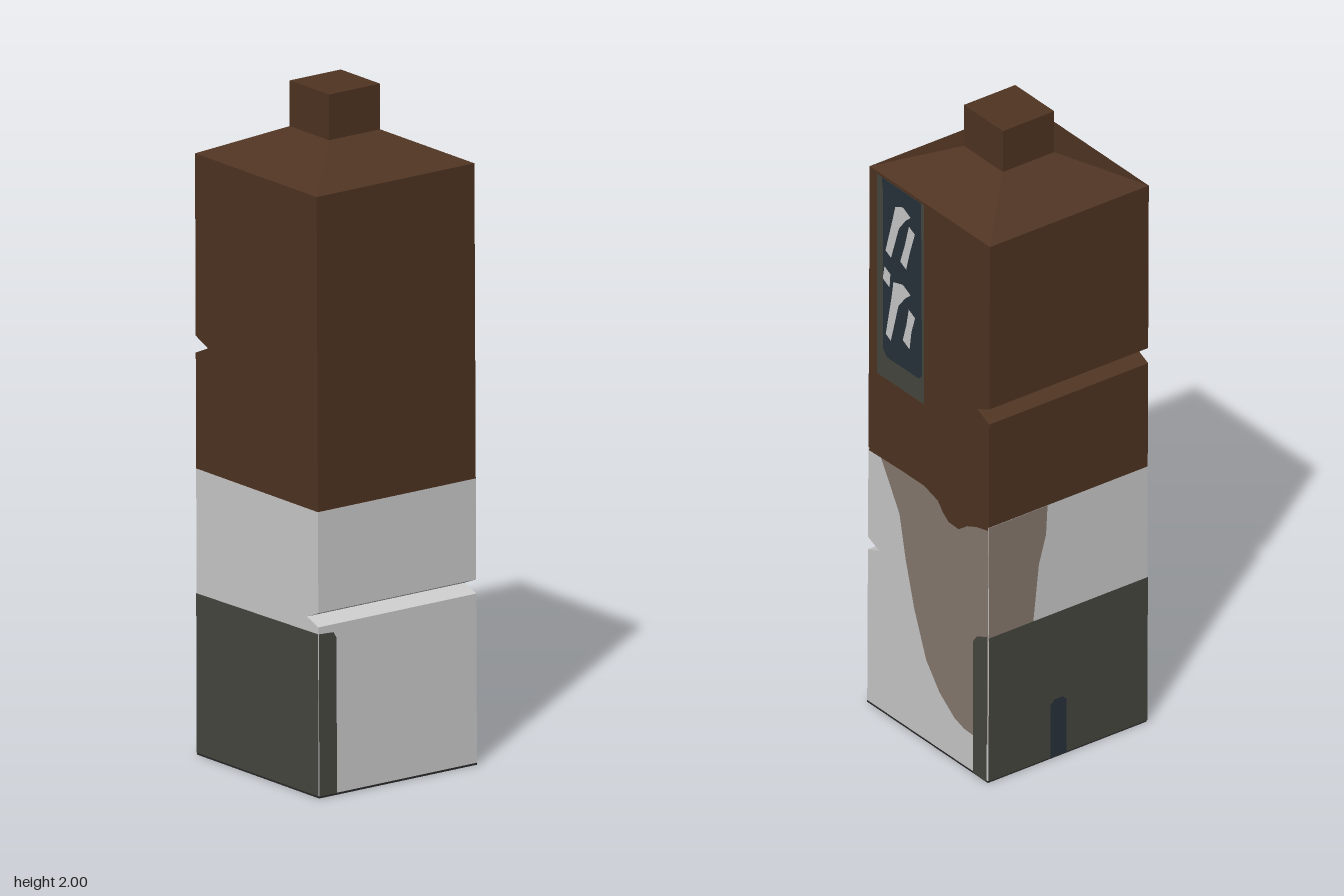
import * as THREE from 'three';

const mat = (name, hex) => {
  const m = new THREE.MeshStandardMaterial({ color: hex });
  m.name = name;
  return m;
};

// The carton leans very slightly: side positions by height
const HALF = 0.283, TOP = 1.775, MID = 0.845;
const leftX = (y) => 0.287 - 0.012 * (y / TOP);
const rightX = (y) => -0.28 - 0.01 * (y / TOP);

export function createModel() {
  const model = new THREE.Group();
  model.name = 'carton';
  const brown = mat('brown', 0x503422);
  const pale = mat('pale grey', 0xcdcdcd);
  const olive = mat('dark olive grey', 0x474841);
  const taupe = mat('taupe', 0x897b70);
  const navy = mat('navy', 0x28323c);
  const charcoal = mat('charcoal', 0x2a2a2a);

  const add = (name, geo, material) => {
    const mesh = new THREE.Mesh(geo, material);
    mesh.name = name;
    model.add(mesh);
    return mesh;
  };
  const shapeOf = (pts) => new THREE.Shape(pts.map((p) => new THREE.Vector2(p[0], p[1])));

  // A horizontal slice of the body; notches are extra points on either side
  const band = (name, y0, y1, material, plusNotch = [], minusNotch = []) => {
    const pts = [
      [rightX(y0), y0], [leftX(y0), y0], ...plusNotch,
      [leftX(y1), y1], [rightX(y1), y1], ...minusNotch,
    ];
    const geo = new THREE.ExtrudeGeometry(shapeOf(pts), { depth: 2 * HALF, bevelEnabled: false });
    geo.translate(0, 0, -HALF);
    add(name, geo, material);
  };
  band('base', 0, 0.006, charcoal);
  band('lowerBody', 0.006, MID, pale,
    [[leftX(0.505), 0.505], [0.23, 0.525], [leftX(0.547), 0.547]]);
  band('upperBody', MID, TOP, brown, [],
    [[rightX(1.237), 1.237], [-0.23, 1.212], [rightX(1.187), 1.187]]);

  // Sloping shoulder: a box whose top is drawn in to the neck
  const neck = { x0: -0.1, x1: 0.083, z0: -0.093, z1: 0.09 };
  const shoulder = new THREE.BoxGeometry(1, 1, 1);
  const p = shoulder.attributes.position;
  for (let i = 0; i < p.count; i++) {
    const px = p.getX(i) > 0, pz = p.getZ(i) > 0;
    if (p.getY(i) > 0) p.setXYZ(i, px ? neck.x1 : neck.x0, 1.865, pz ? neck.z1 : neck.z0);
    else p.setXYZ(i, px ? leftX(TOP) : rightX(TOP), TOP, pz ? HALF : -HALF);
  }
  shoulder.computeVertexNormals();
  add('shoulder', shoulder, brown);

  const cap = new THREE.BoxGeometry(neck.x1 - neck.x0, 0.135, neck.z1 - neck.z0);
  cap.translate((neck.x0 + neck.x1) / 2, 1.9325, (neck.z0 + neck.z1) / 2);
  add('neck', cap, brown);

  // Painted areas: outlines as [x or z, y], laid just above the chosen side
  const sides = {
    front: { sign: 1, place: (u, y, e) => [u, y, HALF + e] },
    back: { sign: -1, place: (u, y, e) => [-u, y, -HALF - e] },
    left: { sign: -1, place: (u, y, e) => [leftX(y) + e, y, -u] },
    right: { sign: 1, place: (u, y, e) => [rightX(y) - e, y, u] },
  };
  const paint = (name, side, layer, material, pts) => {
    const { sign, place } = sides[side];
    const geo = new THREE.ShapeGeometry(shapeOf(pts.map(([u, y]) => [u * sign, y])));
    const pos = geo.attributes.position;
    for (let i = 0; i < pos.count; i++) {
      pos.setXYZ(i, ...place(pos.getX(i), pos.getY(i), 0.0015 * layer));
    }
    geo.computeVertexNormals();
    add(name, geo, material);
  };
  const rect = (u0, u1, y0, y1) => [[u0, y0], [u1, y0], [u1, y1], [u0, y1]];

  // Dark lower wrap around the front, the right side and both corners
  paint('frontWrap', 'front', 1, olive,
    [[rightX(0), 0.006], [leftX(0), 0.006], [leftX(0.48), 0.485], [rightX(0.48), 0.477]]);
  paint('rightWrap', 'right', 2, olive, rect(-HALF, HALF, 0.006, 0.48));
  paint('leftWrapEdge', 'left', 1, olive,
    [[0.22, 0.006], [HALF, 0.006], [HALF, 0.485], [0.23, 0.482], [0.22, 0.465]]);
  paint('backWrapEdge', 'back', 3, olive,
    [[-0.28, 0.006], [-0.216, 0.006], [-0.216, 0.44], [-0.235, 0.465], [-0.283, 0.485]]);
  paint('rightMark', 'right', 3, navy,
    [[-0.064, 0.006], [-0.006, 0.006], [-0.006, 0.18], [-0.02, 0.195], [-0.05, 0.195], [-0.064, 0.18]]);

  // Taupe patch sweeping round the back right corner
  paint('backPatch', 'back', 1, taupe, [
    [0.224, 0.845], [0.175, 0.764], [0.133, 0.693], [0.105, 0.56], [0.064, 0.414], [0.008, 0.271],
    [-0.055, 0.193], [-0.125, 0.142], [-0.17, 0.128], [-0.22, 0.126], [-0.281, 0.126], [-0.285, 0.845],
  ]);
  paint('rightPatch', 'right', 1, taupe,
    [[-HALF, 0.47], [-0.125, 0.47], [-0.105, 0.66], [-0.08, 0.75], [-0.075, 0.845], [-HALF, 0.845]]);

  // Wavy lower edge of the brown on the back
  paint('backDrip', 'back', 2, brown, [
    [0.27, 0.85], [0.275, 0.838], [0.119, 0.843], [0.015, 0.843], [-0.048, 0.825], [-0.075, 0.795],
    [-0.1, 0.778], [-0.146, 0.776], [-0.188, 0.806], [-0.23, 0.823], [-0.284, 0.836], [-0.284, 0.85],
  ]);

  // Label on the back with pale streaks
  paint('labelBorder', 'back', 1, olive, rect(0.018, 0.24, 1.11, 1.768));
  paint('labelPanel', 'back', 2, navy, [
    [0.04, 1.185], [0.19, 1.185], [0.208, 1.205], [0.208, 1.72], [0.215, 1.768], [0.03, 1.768], [0.025, 1.2],
  ]);
  const streak = (path) => paint('labelStreak', 'back', 3, pale, [
    ...path.map(([x, y, w]) => [x + w, y + w / 2]),
    ...path.map(([x, y, w]) => [x - w, y - w / 2]).reverse(),
  ]);
  [
    [[0.182, 1.53, 0.013], [0.147, 1.645, 0.015], [0.125, 1.69, 0.024], [0.095, 1.708, 0.018]],
    [[0.112, 1.525, 0.014], [0.092, 1.59, 0.012], [0.071, 1.66, 0.014]],
    [[0.182, 1.255, 0.012], [0.15, 1.39, 0.016], [0.13, 1.435, 0.028], [0.095, 1.452, 0.018]],
    [[0.098, 1.27, 0.016], [0.085, 1.33, 0.012], [0.071, 1.385, 0.015]],
    [[0.192, 1.43, 0.016], [0.186, 1.475, 0.014]],
  ].forEach(streak);

  return model;
}
